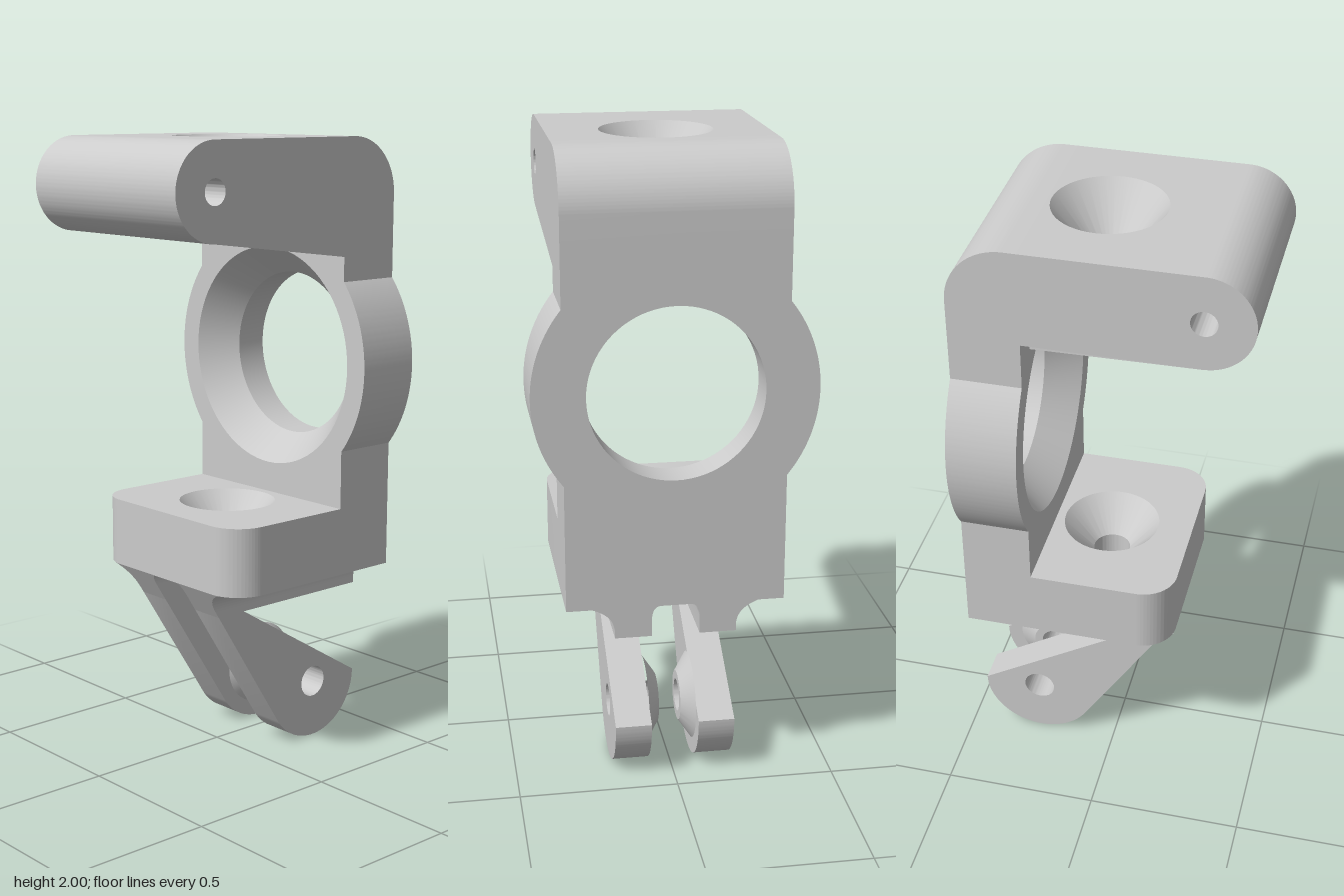
import * as THREE from 'three';
import { toCreasedNormals } from 'three/addons/utils/BufferGeometryUtils.js';

const HALF = 0.34;            // half width of the body
const BACK = -0.45, FACE = -0.23; // back and front of the upright plate
const BORE_Z = -0.045;        // axis of the vertical holes

export function createModel() {
  const group = new THREE.Group();
  const material = new THREE.MeshStandardMaterial({ color: 0xcccccc });

  const add = (name, geometry) => {
    const flat = geometry.index ? geometry.toNonIndexed() : geometry;
    const mesh = new THREE.Mesh(toCreasedNormals(flat, 0.5), material);
    mesh.name = name;
    group.add(mesh);
  };
  const extrude = (shape, depth, steps = 1) =>
    new THREE.ExtrudeGeometry(shape, { depth, steps, bevelEnabled: false, curveSegments: 40 });
  const hole = (shape, x, y, r) => {
    shape.holes.push(new THREE.Path().absarc(x, y, r, 0, Math.PI * 2, true));
    return shape;
  };
  const moveVertices = (geometry, rule) => {
    const p = geometry.attributes.position, v = new THREE.Vector3();
    for (let i = 0; i < p.count; i++) {
      rule(v.fromBufferAttribute(p, i));
      p.setXYZ(i, v.x, v.y, v.z);
    }
    return geometry;
  };
  // Slab with a hole whose radius changes through three layers
  const boredSlab = (shape, cx, cy, depth, radii) => {
    const r = Math.max(...radii);
    return moveVertices(extrude(hole(shape, cx, cy, r), depth, 2), (v) => {
      const dx = v.x - cx, dy = v.y - cy;
      if (Math.abs(Math.hypot(dx, dy) - r) > 1e-4) return;
      const k = radii[Math.round((v.z / depth) * 2)] / r;
      v.x = cx + dx * k;
      v.y = cy + dy * k;
    });
  };
  // Side profile (z, y) swept across x, starting from its +x side
  const across = (shape, right, width) => extrude(shape, width).rotateY(-Math.PI / 2).translate(right, 0, 0);
  // Plan (x, z) swept downwards from a top height
  const downward = (geometry, top) => geometry.rotateX(Math.PI / 2).translate(0, top, 0);

  // Upright plate with a round bulge and a large chamfered hole
  const bulge = Math.acos(HALF / 0.435);
  const plate = new THREE.Shape();
  plate.moveTo(-HALF, 0.6);
  plate.lineTo(HALF, 0.6);
  plate.absarc(0, 1.28, 0.435, -bulge, bulge, false);
  plate.lineTo(HALF, 1.7);
  plate.lineTo(-HALF, 1.7);
  plate.absarc(0, 1.28, 0.435, Math.PI - bulge, Math.PI + bulge, false);
  plate.closePath();
  add('uprightPlate', boredSlab(plate, 0, 1.28, FACE - BACK, [0.27, 0.27, 0.36]).translate(0, 0, BACK));

  // Rounded rear corner of the top arm
  const corner = new THREE.Shape();
  corner.moveTo(BACK, 1.7);
  corner.lineTo(FACE, 1.7);
  corner.lineTo(FACE, 2);
  corner.lineTo(-0.27, 2);
  corner.absarc(-0.27, 1.82, 0.18, Math.PI / 2, Math.PI, false);
  add('armRearCorner', across(corner, HALF, HALF * 2));

  // Middle of the top arm with a countersunk vertical hole
  const middle = new THREE.Shape([[-HALF, FACE], [HALF, FACE], [HALF, 0.14], [-HALF, 0.14]]
    .map(([x, z]) => new THREE.Vector2(x, z)));
  add('armMiddle', downward(boredSlab(middle, 0, BORE_Z, 0.3, [0.175, 0.06, 0.06]), 2));

  // Rounded nose of the top arm with a cross pin hole
  const nose = new THREE.Shape();
  nose.moveTo(0.14, 2);
  nose.lineTo(0.14, 1.7);
  nose.lineTo(0.305, 1.7);
  nose.absarc(0.305, 1.85, 0.15, -Math.PI / 2, Math.PI / 2, false);
  hole(nose, 0.305, 1.85, 0.04);
  add('armNose', across(nose, HALF, HALF * 2));

  // Sloped underside of the arm around a round flat seat
  const seat = Math.asin((BORE_Z - FACE) / 0.31);
  const under = new THREE.Shape();
  under.moveTo(-HALF, FACE);
  under.absarc(0, BORE_Z, 0.31, Math.PI + seat, -seat, true);
  under.lineTo(HALF, FACE);
  under.lineTo(HALF, 0.305);
  under.lineTo(-HALF, 0.305);
  add('armUnderside', moveVertices(downward(extrude(under, 0.2), 1.71), (v) => {
    if (v.y < 1.6) v.y = 1.63 + (v.z - FACE) * 0.13;
  }));

  // Lower ledge with rounded front corners and a countersunk hole
  const ledge = new THREE.Shape();
  const lr = 0.11, lf = 0.225;
  ledge.moveTo(-HALF, FACE);
  ledge.lineTo(HALF, FACE);
  ledge.absarc(HALF - lr, lf - lr, lr, 0, Math.PI / 2, false);
  ledge.absarc(lr - HALF, lf - lr, lr, Math.PI / 2, Math.PI, false);
  ledge.closePath();
  add('lowerLedge', downward(boredSlab(ledge, 0, BORE_Z, 0.22, [0.157, 0.06, 0.06]), 0.82));

  // Two fork prongs with pin holes, conical bosses and flared roots
  const pinZ = -0.262, pinY = 0.19;
  for (const s of [1, -1]) {
    const side = s > 0 ? 'left' : 'right';

    const prong = new THREE.Shape();
    prong.moveTo(BACK, 0.6);
    prong.absarc(pinZ, pinY, 0.19, Math.PI, Math.PI * 2 - 0.563, false);
    prong.lineTo(0.2, 0.565);
    prong.lineTo(0.215, 0.6);
    hole(prong, pinZ, pinY, 0.052);
    add(side + 'Prong', across(prong, s > 0 ? 0.19 : -0.075, 0.115));

    const boss = [[0.14, 0], [0.08, 0.04], [0.052, 0.04], [0.052, 0]].map(([r, h]) => new THREE.Vector2(r, h));
    add(side + 'Boss', new THREE.LatheGeometry(boss, 48)
      .rotateZ(s * Math.PI / 2).translate(s * 0.075, pinY, pinZ));

    const root = new THREE.Shape();
    root.moveTo(s * 0.075, 0.5);
    root.lineTo(s * 0.075, 0.55);
    root.quadraticCurveTo(s * 0.075, 0.6, s * 0.045, 0.6);
    root.lineTo(s * 0.26, 0.6);
    root.quadraticCurveTo(s * 0.19, 0.575, s * 0.19, 0.52);
    root.lineTo(s * 0.19, 0.5);
    add(side + 'ProngRoot', moveVertices(extrude(root, 0.6).translate(0, 0, BACK), (v) => {
      if (v.z > 0) v.z = 0.2 - (0.565 - v.y) * 0.63;
    }));
  }

  return group;
}
